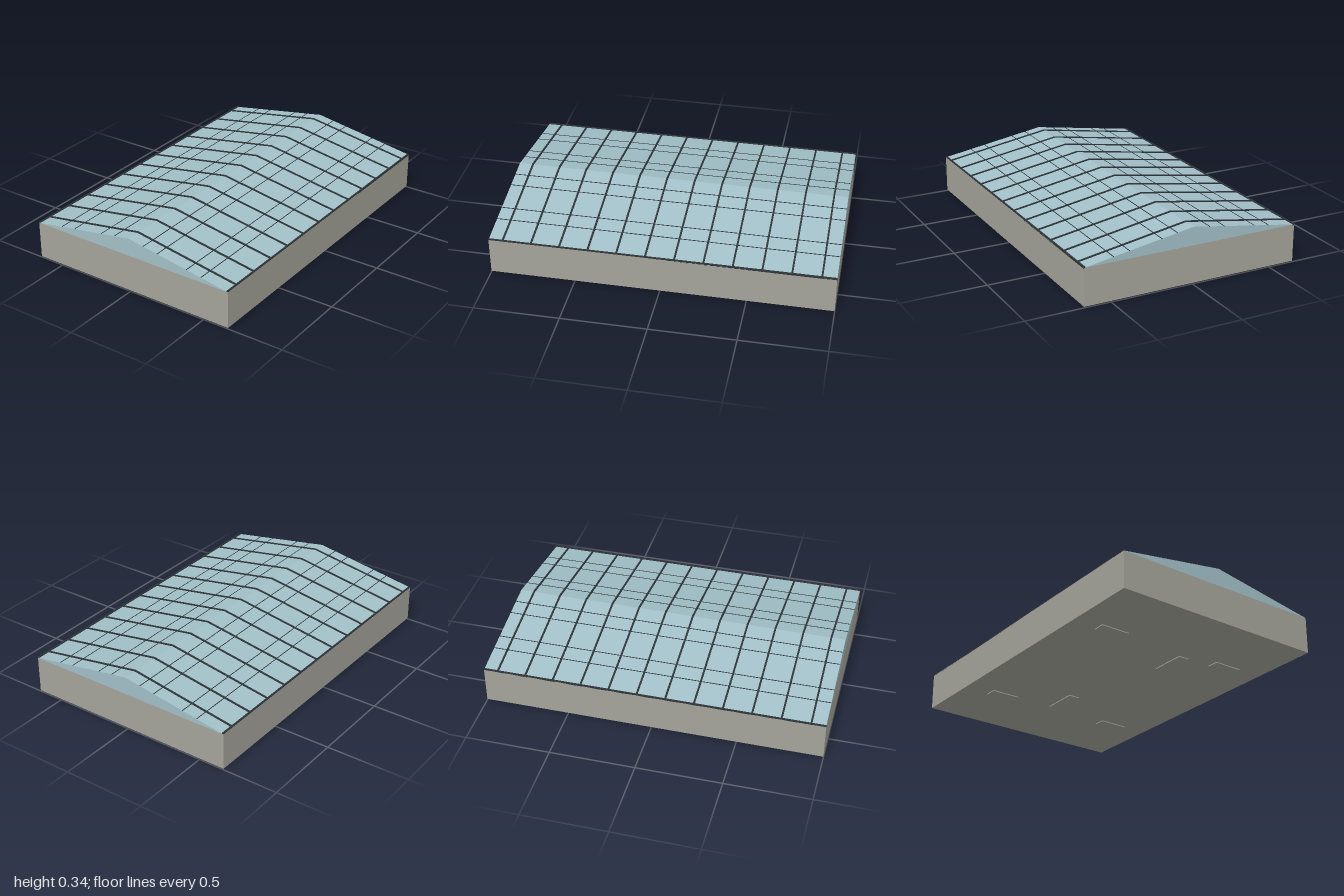
import * as THREE from 'three';

const HALF_W = 0.66, EAVE = 0.228, RIDGE = 0.336;
const mat = (color) => new THREE.MeshStandardMaterial({ color });
const wallMat = mat(0xa5a49b), glassMat = mat(0xa2c0c8), frameMat = mat(0x2e3438);

// Height of the glass at a given distance from the ridge
const roofY = (x) => RIDGE - (RIDGE - EAVE) * Math.abs(x) / HALF_W;

function box(parent, name, material, size, pos) {
  const mesh = new THREE.Mesh(new THREE.BoxGeometry(...size), material);
  mesh.name = name;
  mesh.position.set(...pos);
  parent.add(mesh);
  return mesh;
}

// Extrudes an outline in x and y along z, centred on z
function prism(parent, name, material, points, depth, z = 0) {
  const shape = new THREE.Shape(points.map(([x, y]) => new THREE.Vector2(x, y)));
  const geo = new THREE.ExtrudeGeometry(shape, { depth, bevelEnabled: false });
  geo.translate(0, 0, z - depth / 2);
  const mesh = new THREE.Mesh(geo, material);
  mesh.name = name;
  parent.add(mesh);
}

export function createModel() {
  const model = new THREE.Group();
  model.name = 'glassRoofedHall';

  // Solid walled base
  box(model, 'base', wallMat, [2 * HALF_W, EAVE - 0.006, 2], [0, (EAVE + 0.006) / 2, 0]);

  // Glazed gable roof
  prism(model, 'glassRoof', glassMat, [[-HALF_W, EAVE], [HALF_W, EAVE], [0, RIDGE]], 2);

  // Cross ribs that follow both slopes
  const ribs = new THREE.Group();
  ribs.name = 'roofRibs';
  model.add(ribs);
  const end = 0.655, y = roofY(end), t = 0.006;
  const chevron = [[-end, y - t], [0, RIDGE - t], [end, y - t], [end, y + t], [0, RIDGE + t], [-end, y + t]];
  for (let i = 0; i < 12; i++) prism(ribs, 'rib', frameMat, chevron, 0.01, (i - 5.5) / 6);

  // Eave rails and slender glazing bars along the length
  const slope = Math.atan2(RIDGE - EAVE, HALF_W);
  for (const side of [-1, 1]) {
    box(model, 'eaveRail', frameMat, [0.01, 0.01, 2], [side * end, roofY(end), 0]);
    for (const x of [0.1, 0.195, 0.39, 0.485]) {
      const bar = box(model, 'glazingBar', frameMat, [0.004, 0.004, 2], [side * x, roofY(x), 0]);
      bar.rotation.z = -side * slope;
    }
  }

  // Shallow pads under the floor: four outer and two inner
  for (const x of [-0.41, 0.41]) for (const z of [-0.56, 0.56])
    box(model, 'outerPad', wallMat, [0.18, 0.008, 0.07], [x, 0.004, z]);
  for (const [x, z] of [[-0.05, -0.42], [0.13, 0.42]])
    box(model, 'innerPad', wallMat, [0.07, 0.008, 0.22], [x, 0.004, z]);

  return model;
}
